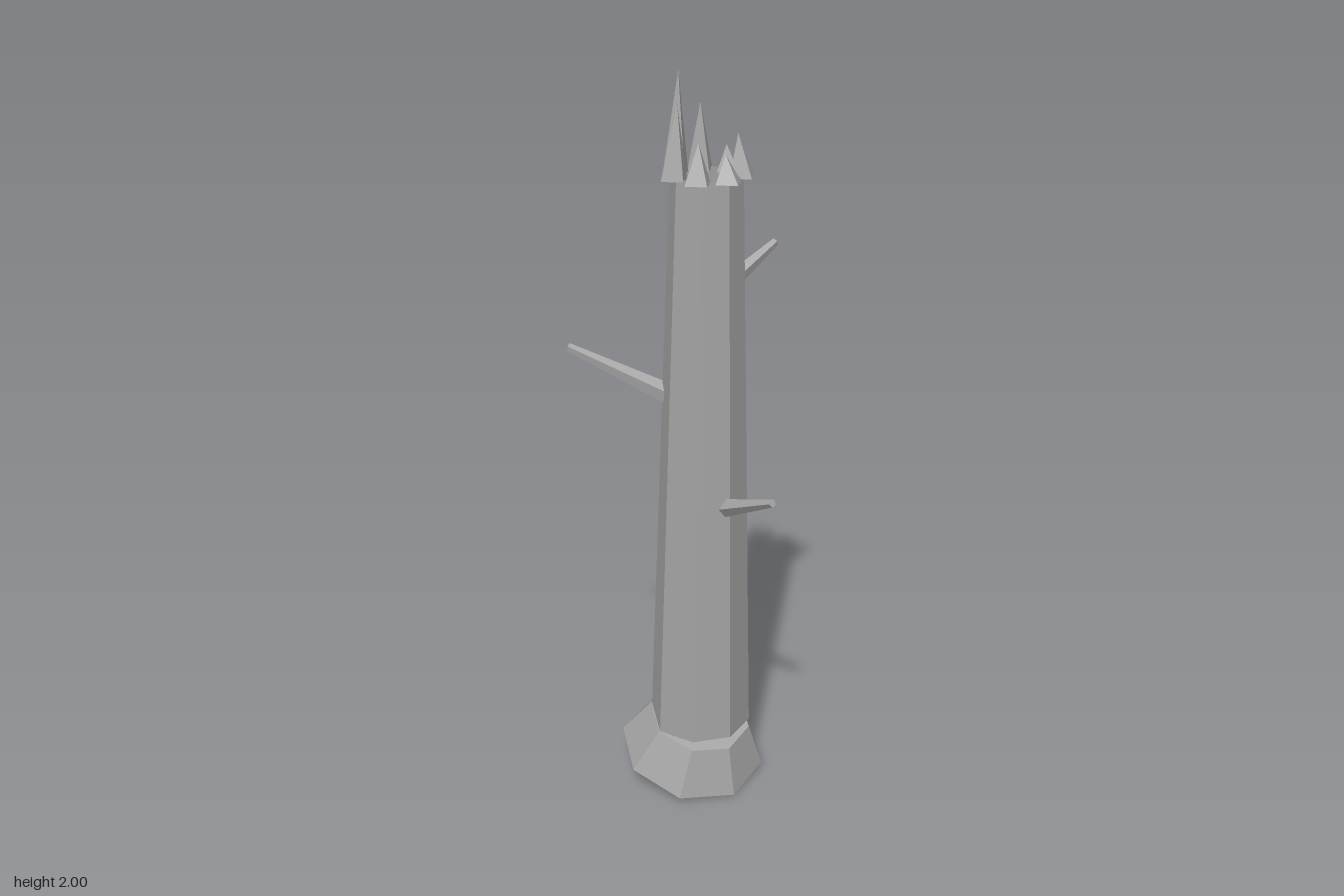
import * as THREE from 'three';

export function createModel() {
  const group = new THREE.Group();
  const wood = new THREE.MeshStandardMaterial({ color: 0xa6a6a6, flatShading: true, side: THREE.DoubleSide });
  wood.name = 'dead wood grey';

  const add = (name, geometry) => {
    const mesh = new THREE.Mesh(geometry, wood);
    mesh.name = name;
    group.add(mesh);
    return mesh;
  };

  // Tapered prism whose end rings stay level while its axis leans from a to b
  const leaning = (a, b, ra, rb, sides, open) => {
    const h = b.y - a.y;
    const g = new THREE.CylinderGeometry(rb, ra, h, sides, 1, open);
    const p = g.attributes.position;
    for (let i = 0; i < p.count; i++) {
      const t = p.getY(i) / h + 0.5;
      p.setXYZ(i, p.getX(i) + a.x + (b.x - a.x) * t, a.y + h * t, p.getZ(i) + a.z + (b.z - a.z) * t);
    }
    g.computeVertexNormals();
    return g;
  };
  const v = (x, y, z) => new THREE.Vector3(x, y, z);

  // Hollow trunk
  const top = v(0.02, 1.76, 0.01);
  add('trunk', leaning(v(-0.043, 0.19, -0.015), top, 0.14, 0.09, 8, true));

  // Flared foot, tipped sideways
  const foot = add('rootFlare', new THREE.CylinderGeometry(0.143, 0.207, 0.13, 8));
  foot.position.set(-0.064, 0.127, -0.016);
  foot.rotation.z = -0.295;

  // Ring of splinters on the broken rim, clockwise from the left side
  const tips = [1.82, 1.85, 1.93, 2.0, 1.92, 1.82, 1.86];
  tips.forEach((y, i) => {
    const a = (i / tips.length) * Math.PI * 2;
    const at = (r, h) => v(top.x + r * Math.cos(a), h, top.z + r * Math.sin(a));
    add('splinter', leaning(at(0.085, 1.755), at(0.075, y), 0.038, 0, 4, false));
  });

  // Branch stubs: start, tip
  const branches = [
    [v(0.015, 0.868, 0), v(0.275, 0.983, -0.003)],
    [v(-0.04, 1.16, 0.03), v(-0.247, 1.3, 0.253)],
    [v(-0.018, 1.42, -0.01), v(-0.045, 1.535, -0.26)],
  ];
  for (const [a, b] of branches) {
    const dir = b.clone().sub(a);
    const m = add('branch', new THREE.CylinderGeometry(0.011, 0.031, dir.length(), 5));
    m.position.copy(a).add(b).multiplyScalar(0.5);
    m.quaternion.setFromUnitVectors(v(0, 1, 0), dir.normalize());
  }

  return group;
}
